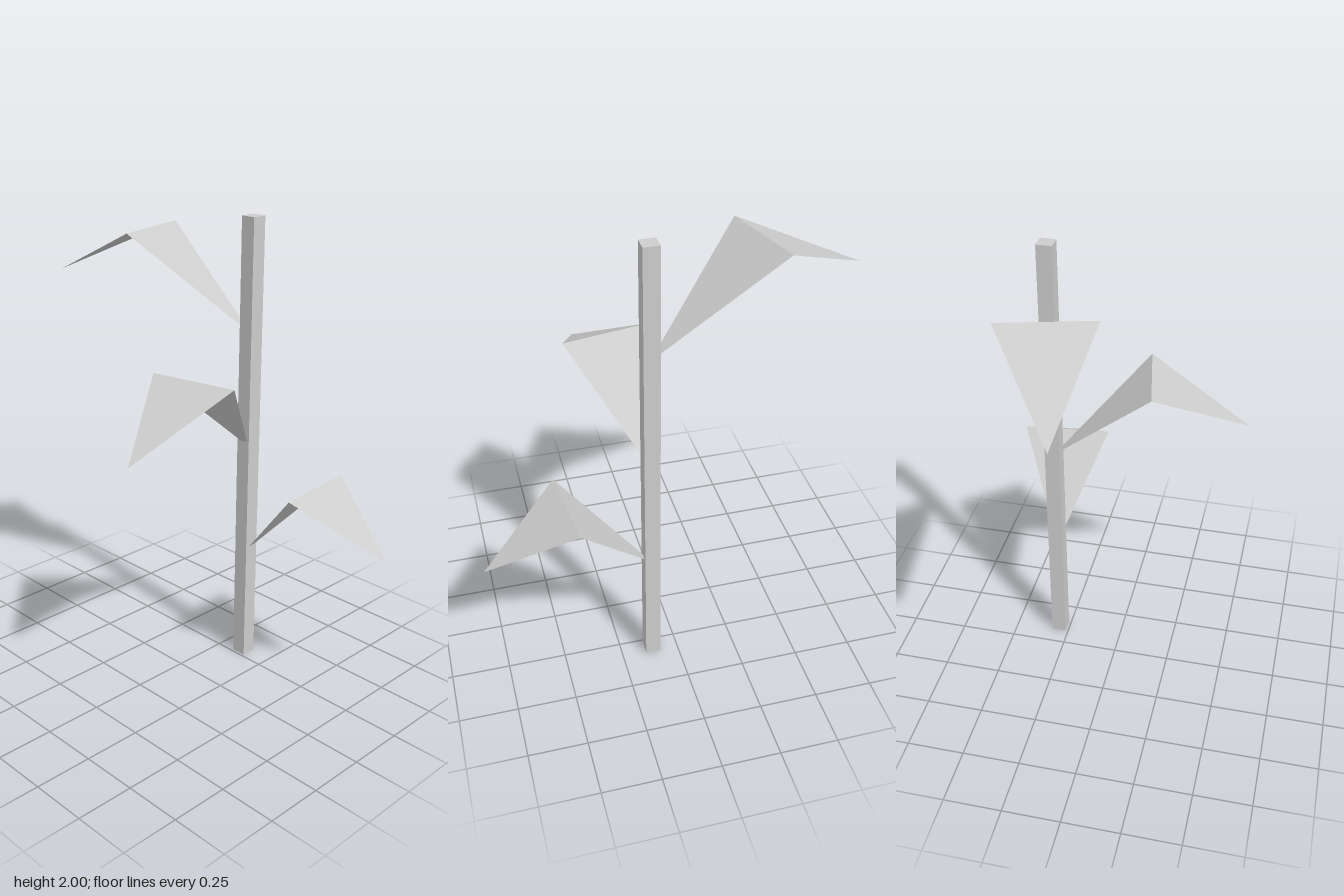
import * as THREE from 'three';

const STEM_X = 0.295, STEM_Z = 0.112;

// A four-point leaf: rises from the stem centre to a fold, then droops to its tip.
function leafGeometry(reach) {
  const w = 0.193, foldY = 0.4, tipY = 0.17;
  const g = new THREE.BufferGeometry();
  g.setAttribute('position', new THREE.Float32BufferAttribute([
    0, 0, 0, w, foldY, reach, -w, foldY, reach,
    -w, foldY, reach, w, foldY, reach, 0, tipY, reach * 2,
  ], 3));
  // Both halves wound to face upward
  const p = g.attributes.position;
  for (let t = 0; t < 6; t += 3) {
    const [a, b, c] = [0, 1, 2].map(i => new THREE.Vector3().fromBufferAttribute(p, t + i));
    const up = b.clone().sub(a).cross(c.clone().sub(a)).y;
    if (up < 0) {
      p.setXYZ(t + 1, c.x, c.y, c.z);
      p.setXYZ(t + 2, b.x, b.y, b.z);
    }
  }
  g.computeVertexNormals();
  return g;
}

export function createModel() {
  const model = new THREE.Group();
  model.name = 'plant';

  const paleGrey = new THREE.MeshStandardMaterial({
    color: 0xcccccc, flatShading: true, side: THREE.DoubleSide,
  });
  paleGrey.name = 'paleGrey';

  // Square stem
  const stem = new THREE.Mesh(new THREE.BoxGeometry(0.066, 2, 0.066), paleGrey);
  stem.name = 'stem';
  stem.position.set(STEM_X, 1, STEM_Z);
  model.add(stem);

  // Leaves spiral up the stem, each longer than the one below
  const leaves = [
    ['lowerLeaf', 0.513, 5.8, 0.354],
    ['middleLeaf', 1.013, -79.6, 0.417],
    ['upperLeaf', 1.513, -164.8, 0.483],
  ];
  for (const [name, y, angle, reach] of leaves) {
    const leaf = new THREE.Mesh(leafGeometry(reach), paleGrey);
    leaf.name = name;
    leaf.position.set(STEM_X, y, STEM_Z);
    leaf.rotation.y = THREE.MathUtils.degToRad(angle);
    model.add(leaf);
  }
  return model;
}
